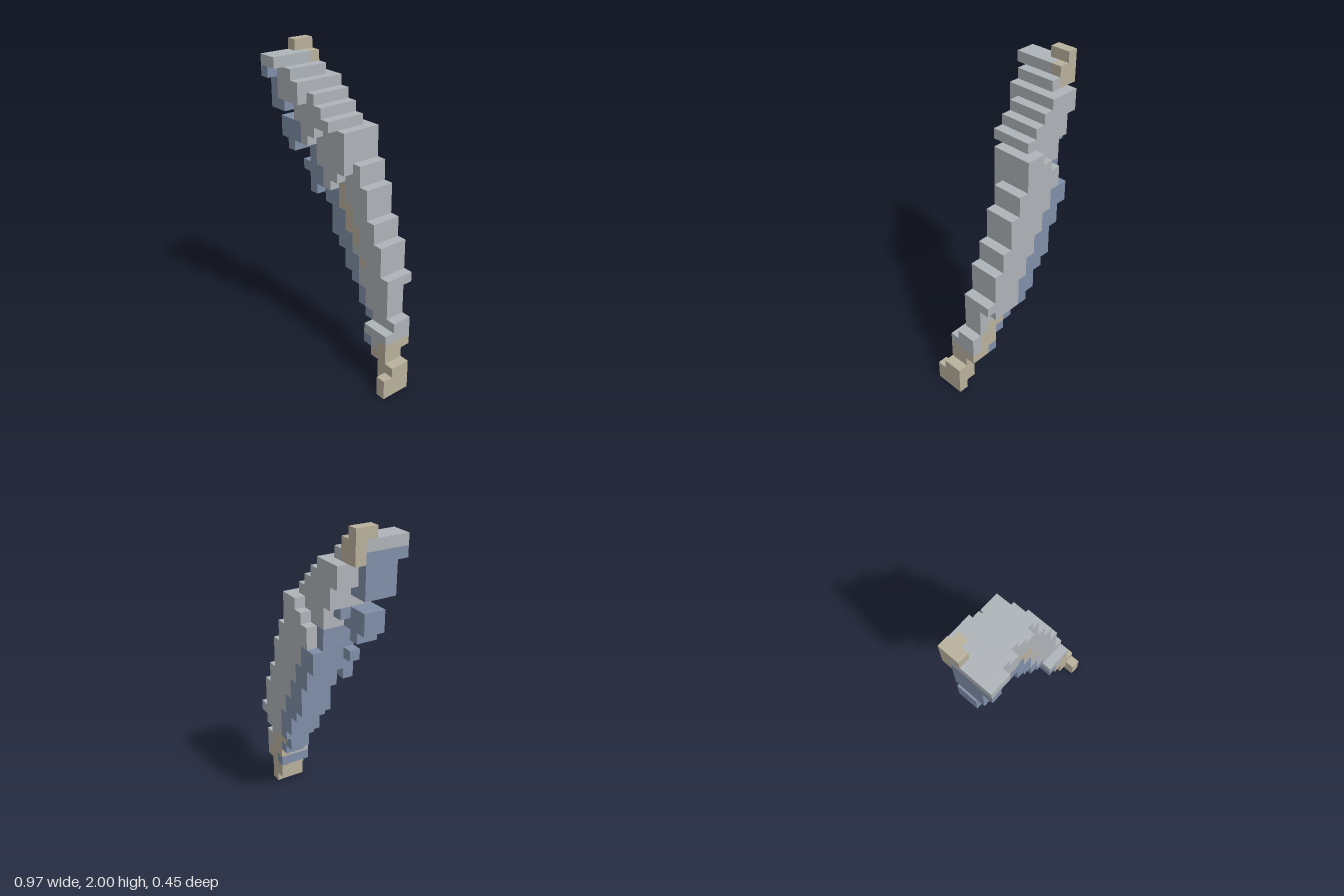
import * as THREE from 'three';

const U = 2 / 31; // size of one block
const NX = 15, NZ = 7;

// Each layer runs back to front: first column, then [bottom, top, ...] spans per column.
const layers = [
  { first: 3, spans: [[18, 20], [16, 22], [13, 23], [12, 24], [10, 24], [9, 21], [9, 19], [9, 16], [9, 14], [10, 11]] },
  { first: 1, spans: [[26, 28], [24, 28], [18, 28], [16, 27], [13, 26], [12, 25], [10, 24], [9, 21], [7, 19], [6, 16], [4, 14], [4, 11], [4, 7]] },
  { first: 0, spans: [[28, 31], [26, 30], [23, 29], [18, 28], [16, 27], [13, 26], [12, 25], [10, 24], [9, 21], [7, 19], [6, 16], [4, 14], [3, 11], [1, 7], [0, 3]] },
  { first: 0, spans: [[25, 31, 22, 24], [25, 30, 21, 24], [22, 29, 19, 20], [17, 28], [18, 27], [18, 26], [19, 25], [20, 24], [], [], [], [4, 6], [3, 6], [1, 6], [0, 3]] },
  { first: 0, spans: [[25, 30, 22, 24], [25, 30, 21, 24], [22, 29], [22, 28], [23, 27], [24, 26], [24, 25], [], [], [], [], [], [], [], [0, 2]] },
  { first: 0, spans: [[25, 30], [25, 30], [26, 29], [26, 28]] },
  { first: 0, spans: [[28, 30], [29, 30]] },
];

// Height below which each column belongs to the blue trailing edge
const blueBelow = [29, 26, 24, 22, 20, 18, 16, 14, 12, 9, 7, 5, 0, 0, 0];

// Exposed stretches of the quill: [column, bottom, top, first layer, last layer]
const quillSpans = [
  [0, 28, 31, 2, 2], [0, 30, 31, 3, 3], [1, 28, 30, 2, 2],
  [6, 16, 19, 2, 2], [7, 14, 17, 2, 2], [8, 13, 15, 2, 2], [9, 11, 12, 2, 2],
  [10, 7, 8, 1, 1], [11, 5, 8, 1, 1], [12, 4, 7, 1, 1],
  [12, 3, 4, 1, 3], [13, 1, 5, 1, 3], [14, 0, 3, 2, 4],
];

function partAt(x, y, z) {
  if (quillSpans.some(([c, b, t, z0, z1]) => x === c && y >= b && y < t && z >= z0 && z <= z1)) return 'quill';
  return y < blueBelow[x] ? 'trailingEdge' : 'vane';
}

export function createModel() {
  const group = new THREE.Group();
  group.name = 'feather';

  // Fill the blocks
  const filled = new Set();
  const key = (x, y, z) => `${x},${y},${z}`;
  const cells = [];
  layers.forEach(({ first, spans }, z) => spans.forEach((span, i) => {
    for (let s = 0; s < span.length; s += 2) {
      for (let y = span[s]; y < span[s + 1]; y++) {
        cells.push([first + i, y, z]);
        filled.add(key(first + i, y, z));
      }
    }
  }));

  // Keep only the outer block faces, sorted by part
  const faces = { vane: [], trailingEdge: [], quill: [] };
  for (const cell of cells) {
    const out = faces[partAt(...cell)];
    for (let axis = 0; axis < 3; axis++) {
      for (const side of [0, 1]) {
        const next = [...cell];
        next[axis] += side ? 1 : -1;
        if (filled.has(key(...next))) continue;
        const u = (axis + 1) % 3, v = (axis + 2) % 3;
        const corner = (du, dv) => {
          const p = [...cell];
          p[axis] += side;
          p[u] += du;
          p[v] += dv;
          return [(p[0] - NX / 2) * U, p[1] * U, (p[2] - NZ / 2) * U];
        };
        const quad = [corner(0, 0), corner(1, 0), corner(1, 1), corner(0, 1)];
        if (!side) quad.reverse();
        for (const k of [0, 1, 2, 0, 2, 3]) out.push(...quad[k]);
      }
    }
  }

  const colors = { vane: ['grey', 0xaeb3b8], trailingEdge: ['slateBlue', 0x7f8ea7], quill: ['tan', 0xb8b09b] };
  for (const [part, [colorName, color]] of Object.entries(colors)) {
    const geometry = new THREE.BufferGeometry();
    geometry.setAttribute('position', new THREE.Float32BufferAttribute(faces[part], 3));
    geometry.computeVertexNormals();
    const material = new THREE.MeshStandardMaterial({ color });
    material.name = colorName;
    const mesh = new THREE.Mesh(geometry, material);
    mesh.name = part;
    group.add(mesh);
  }
  return group;
}
